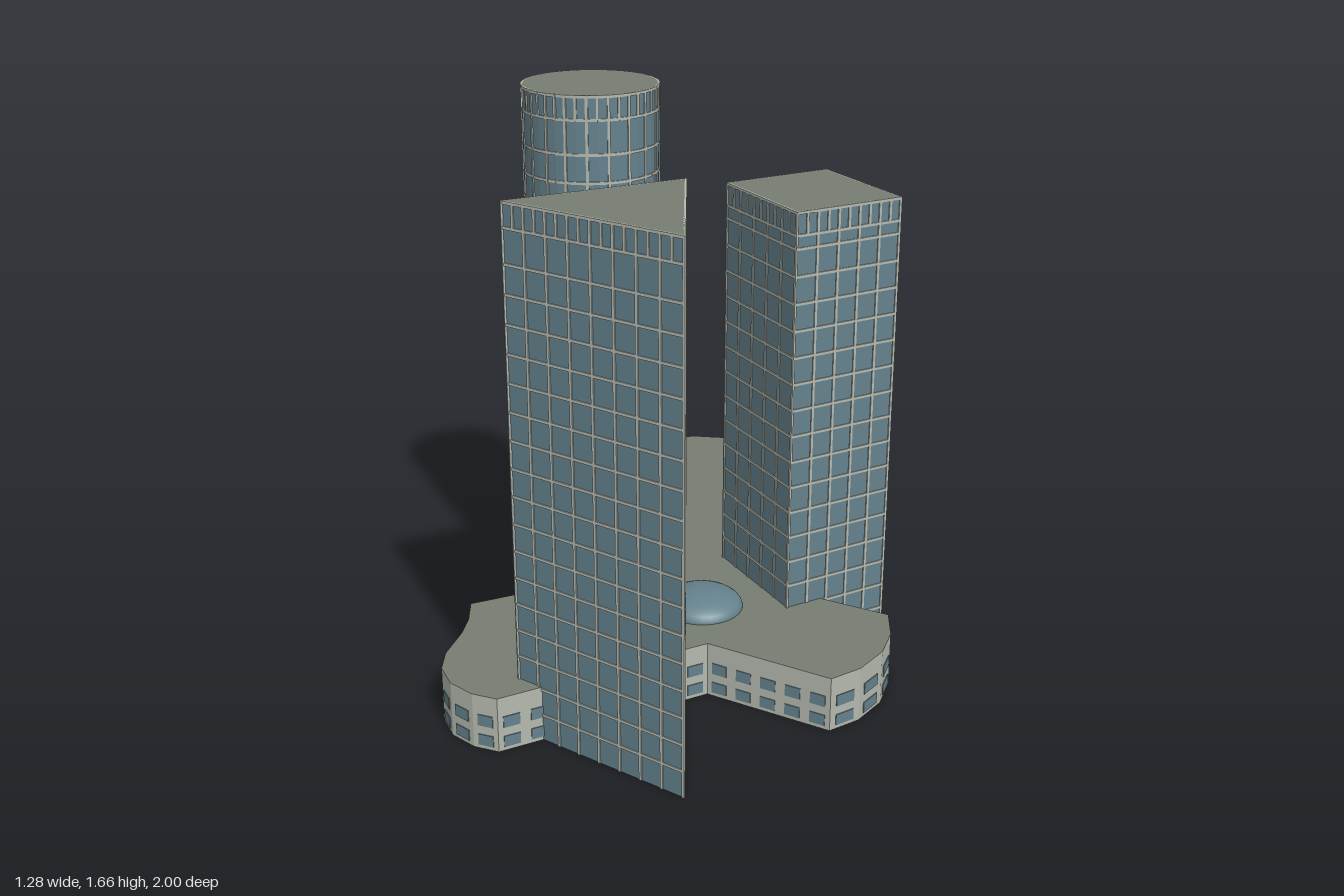
import * as THREE from 'three';
import { mergeGeometries } from 'three/addons/utils/BufferGeometryUtils.js';

const mat = (name, color) => {
  const m = new THREE.MeshStandardMaterial({ color, side: THREE.DoubleSide });
  m.name = name;
  return m;
};

// Upright piece on the ground line a-b, from u0 to u1 along it and y0 to y1 high.
function piece([ax, az], [bx, bz], u0, u1, y0, y1, depth = 0) {
  const len = Math.hypot(bx - ax, bz - az);
  const w = u1 - u0, h = y1 - y0, t = (u0 + u1) / 2 / len;
  const g = depth ? new THREE.BoxGeometry(w, h, depth) : new THREE.PlaneGeometry(w, h);
  g.rotateY(Math.atan2(az - bz, bx - ax));
  g.translate(ax + (bx - ax) * t, (y0 + y1) / 2, az + (bz - az) * t);
  return g;
}

// Calls fn(a, b, length, index) for each side of a closed outline of [x, z] points.
function eachSide(points, fn) {
  points.forEach((a, i) => {
    const b = points[(i + 1) % points.length];
    fn(a, b, Math.hypot(b[0] - a[0], b[1] - a[1]), i);
  });
}

function add(group, name, geometry, material) {
  const mesh = new THREE.Mesh(geometry, material);
  mesh.name = name;
  group.add(mesh);
}

function flatRoof(points, y) {
  const shape = new THREE.Shape(points.map(([x, z]) => new THREE.Vector2(x, -z)));
  return new THREE.ShapeGeometry(shape).rotateX(-Math.PI / 2).translate(0, y, 0);
}

// Glass tower with a grid of mullions and a crown of closely set fins.
function makeTower(name, points, height, columns, mats, skip = 1) {
  const group = new THREE.Group();
  group.name = name;
  const walls = [], bars = [];
  const floor = 0.079, line = 0.008, depth = 0.006, crown = height - 0.068;
  eachSide(points, (a, b, len, i) => {
    walls.push(piece(a, b, 0, len, 0, height));
    // floor lines
    for (let y = floor; y < crown - 0.03; y += floor) {
      bars.push(piece(a, b, 0, len, y - line / 2, y + line / 2, depth));
    }
    bars.push(piece(a, b, 0, len, crown - line / 2, crown + line / 2, depth));
    bars.push(piece(a, b, 0, len, height - line, height, depth));
    // mullions
    for (let c = 0; c < columns; c++) {
      if (i % skip) continue;
      const u = (c / columns) * len;
      bars.push(piece(a, b, u - line / 2, u + line / 2, 0, crown, depth));
    }
    // crown fins
    const fins = skip > 1 ? 1 : columns * 2;
    for (let c = 0; c < fins; c++) {
      const u = (c / fins) * len;
      bars.push(piece(a, b, u - line / 2, u + line / 2, crown, height, depth));
    }
  });
  add(group, name + 'Glass', mergeGeometries(walls), mats.glass);
  add(group, name + 'Mullions', mergeGeometries(bars), mats.concrete);
  add(group, name + 'Roof', flatRoof(points, height), mats.roof);
  return group;
}

// Low three-winged base with two rows of windows.
function makePodium(points, height, mats) {
  const group = new THREE.Group();
  group.name = 'podium';
  const walls = [], windows = [];
  eachSide(points, (a, b, len) => {
    walls.push(piece(a, b, 0, len, 0, height));
    const count = Math.max(1, Math.round(len / 0.08)), pitch = len / count;
    for (let i = 0; i < count; i++) {
      const u = (i + 0.5) * pitch, half = pitch * 0.3;
      windows.push(piece(a, b, u - half, u + half, 0.012, 0.045, 0.005));
      windows.push(piece(a, b, u - half, u + half, 0.072, 0.106, 0.005));
    }
  });
  add(group, 'podiumWalls', mergeGeometries(walls), mats.concrete);
  add(group, 'podiumWindows', mergeGeometries(windows), mats.glass);
  add(group, 'podiumRoof', flatRoof(points, height), mats.roof);
  return group;
}

export function createModel() {
  const model = new THREE.Group();
  model.name = 'towerComplex';
  const mats = {
    glass: mat('glass', 0x64818c),
    concrete: mat('concrete', 0xb4b8ad),
    roof: mat('roof', 0x787d72),
  };

  const podium = [
    // back wing
    [-0.145, -0.17], [-0.16, -0.935], [-0.05, -0.985], [0.07, -1], [0.19, -0.985], [0.305, -0.935],
    [0.305, 0.165],
    // left wing
    [0.63, 0.33], [0.625, 0.44], [0.59, 0.54], [0.52, 0.63], [0.435, 0.685],
    [0.1, 0.5],
    // right wing
    [-0.465, 0.795], [-0.535, 0.77], [-0.6, 0.715], [-0.635, 0.64], [-0.635, 0.56],
    [-0.605, 0.45], [-0.595, 0.37], [-0.6, 0.275],
    [-0.14, 0.07],
  ];
  model.add(makePodium(podium, 0.165, mats));

  const circle = Array.from({ length: 40 }, (_, i) => {
    const a = (i / 40) * Math.PI * 2;
    return [-0.235 + 0.193 * Math.cos(a), 0.193 * Math.sin(a)];
  });
  const square = [[0.155, -0.03], [0.45, -0.195], [0.633, 0.125], [0.335, 0.29]];
  const triangle = [[0.035, 0.465], [0.033, 0.995], [-0.415, 0.69]];
  model.add(makeTower('roundTower', circle, 1.665, 1, mats, 2));
  model.add(makeTower('squareTower', square, 1.37, 5, mats));
  model.add(makeTower('triangularTower', triangle, 1.505, 8, mats));

  // shallow skylight dome between the towers
  const dome = new THREE.SphereGeometry(0.121, 28, 8, 0, Math.PI * 2, 0, Math.PI / 2);
  dome.scale(1, 0.42, 1).translate(0.085, 0.165, 0.275);
  add(model, 'skylightDome', dome, mats.glass);
  return model;
}
